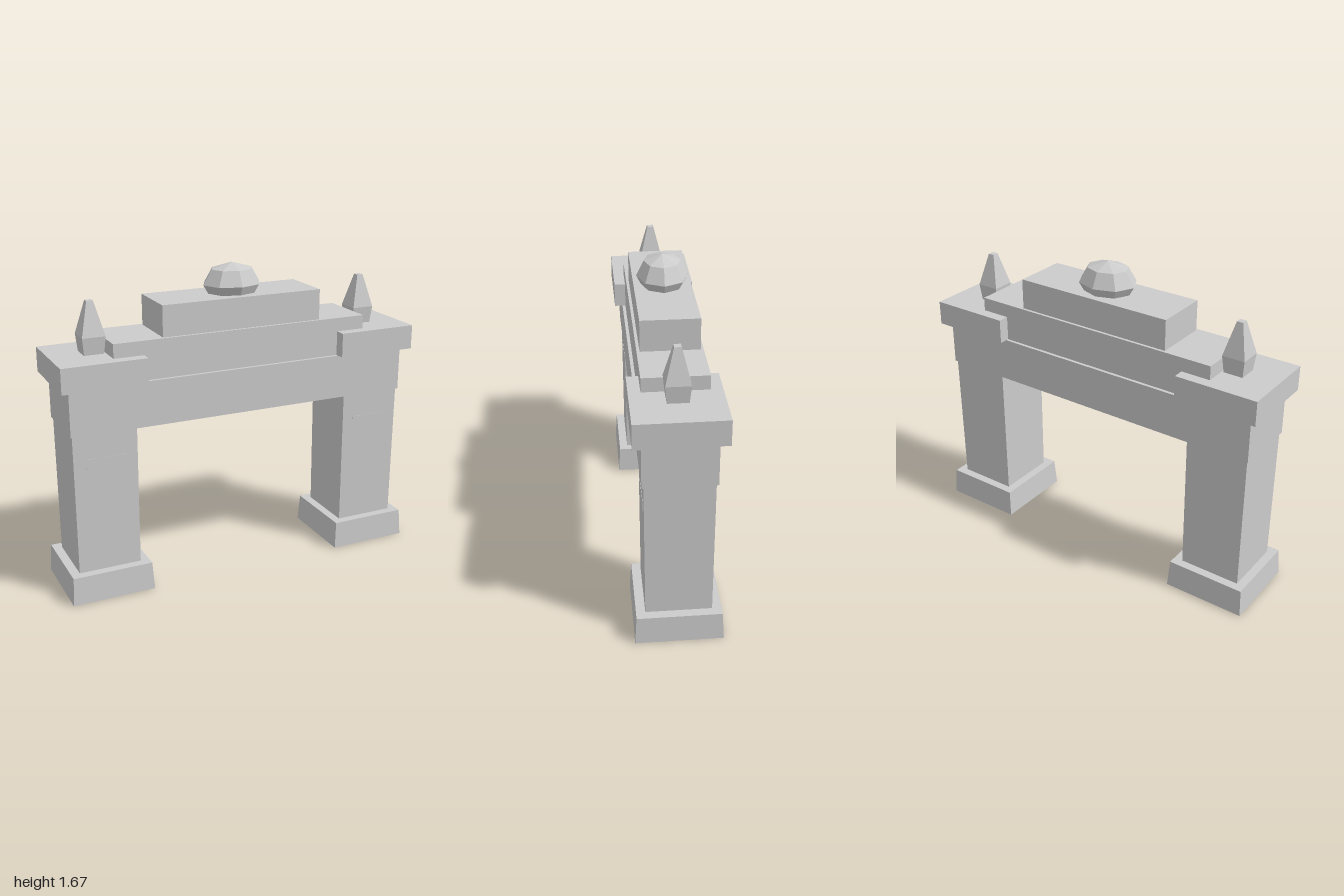
import * as THREE from 'three';

const material = new THREE.MeshStandardMaterial({ color: 0xcccccc, flatShading: true });

function add(parent, name, geometry, x, y, z) {
  const mesh = new THREE.Mesh(geometry, material);
  mesh.name = name;
  mesh.position.set(x, y, z);
  parent.add(mesh);
  return mesh;
}

// Box given by its width, depth and vertical extent
function block(parent, name, x, w, d, y0, y1, z = 0) {
  return add(parent, name, new THREE.BoxGeometry(w, y1 - y0, d), x, (y0 + y1) / 2, z);
}

// Square tapered block given by half widths at bottom and top
function taper(parent, name, bottom, top, y0, y1, open = false) {
  const g = new THREE.CylinderGeometry(top * Math.SQRT2, bottom * Math.SQRT2, y1 - y0, 4, 1, open);
  g.rotateY(Math.PI / 4);
  return add(parent, name, g, 0, (y0 + y1) / 2, 0);
}

export function createModel() {
  const gate = new THREE.Group();
  gate.name = 'gateway';

  // Gate posts, mirrored in placement
  for (const [side, label] of [[1, 'left'], [-1, 'right']]) {
    const post = new THREE.Group();
    post.name = label + 'Post';
    post.position.x = side * 0.777;
    gate.add(post);
    taper(post, 'plinth', 0.223, 0.214, 0, 0.15);
    taper(post, 'pillar', 0.167, 0.17, 0.15, 0.9);
    // Thin plaque nearly flush with the pillar front
    block(post, 'plaque', 0, 0.21, 0.01, 0.72, 0.77, 0.166);
    block(post, 'cap', 0, 0.445, 0.446, 1.14, 1.272);

    // Pointed finial: flared foot and tall spire
    const finial = new THREE.Group();
    finial.name = 'finial';
    taper(finial, 'finialFoot', 0.052, 0.061, 1.272, 1.362);
    taper(finial, 'finialSpire', 0.061, 0.017, 1.362, 1.538);
    post.add(finial);
  }

  // Lintel and stepped crown
  block(gate, 'lintel', 0, 1.91, 0.36, 0.9, 1.14);
  block(gate, 'lowerStep', 0, 1.428, 0.326, 1.14, 1.346);
  block(gate, 'upperStep', 0, 0.894, 0.296, 1.346, 1.51);

  // Faceted ornament on top, partly sunk into the step
  const orb = add(gate, 'orb', new THREE.SphereGeometry(1, 8, 4), 0, 1.556, 0);
  orb.scale.set(0.161, 0.111, 0.133);

  return gate;
}
